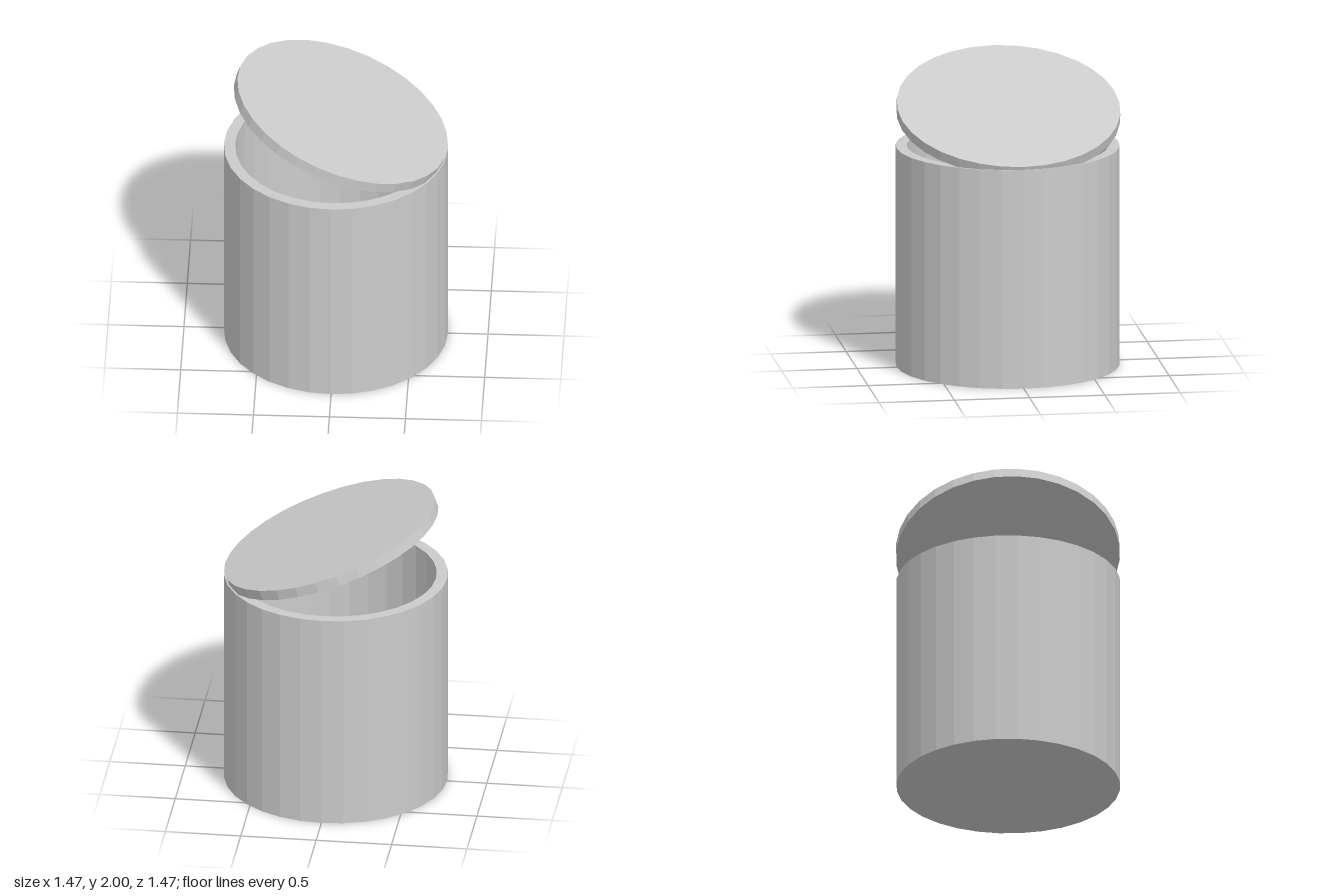
import * as THREE from 'three';

const SIDES = 32;
const RADIUS = 0.737;
const HEIGHT = 1.475;
const WALL = 0.074;
const TILT = THREE.MathUtils.degToRad(20);

export function createModel() {
  const group = new THREE.Group();
  group.name = 'canister';
  const material = new THREE.MeshStandardMaterial({ color: 0xcccccc, flatShading: true });

  // Hollow body: underside, outer wall, rim, inner wall, floor
  const inner = RADIUS - WALL;
  const profile = [
    [0, 0], [RADIUS, 0], [RADIUS, HEIGHT],
    [inner, HEIGHT], [inner, WALL], [0, WALL],
  ].map(([x, y]) => new THREE.Vector2(x, y));
  const body = new THREE.Mesh(new THREE.LatheGeometry(profile, SIDES), material);
  body.name = 'body';
  group.add(body);

  // Lid, tipped open and resting on the left edge of the rim
  const lid = new THREE.Mesh(new THREE.CylinderGeometry(RADIUS, RADIUS, 0.07, SIDES), material);
  lid.name = 'lid';
  lid.position.set(0.032, 1.715, 0);
  lid.rotation.z = -TILT;
  group.add(lid);

  return group;
}
